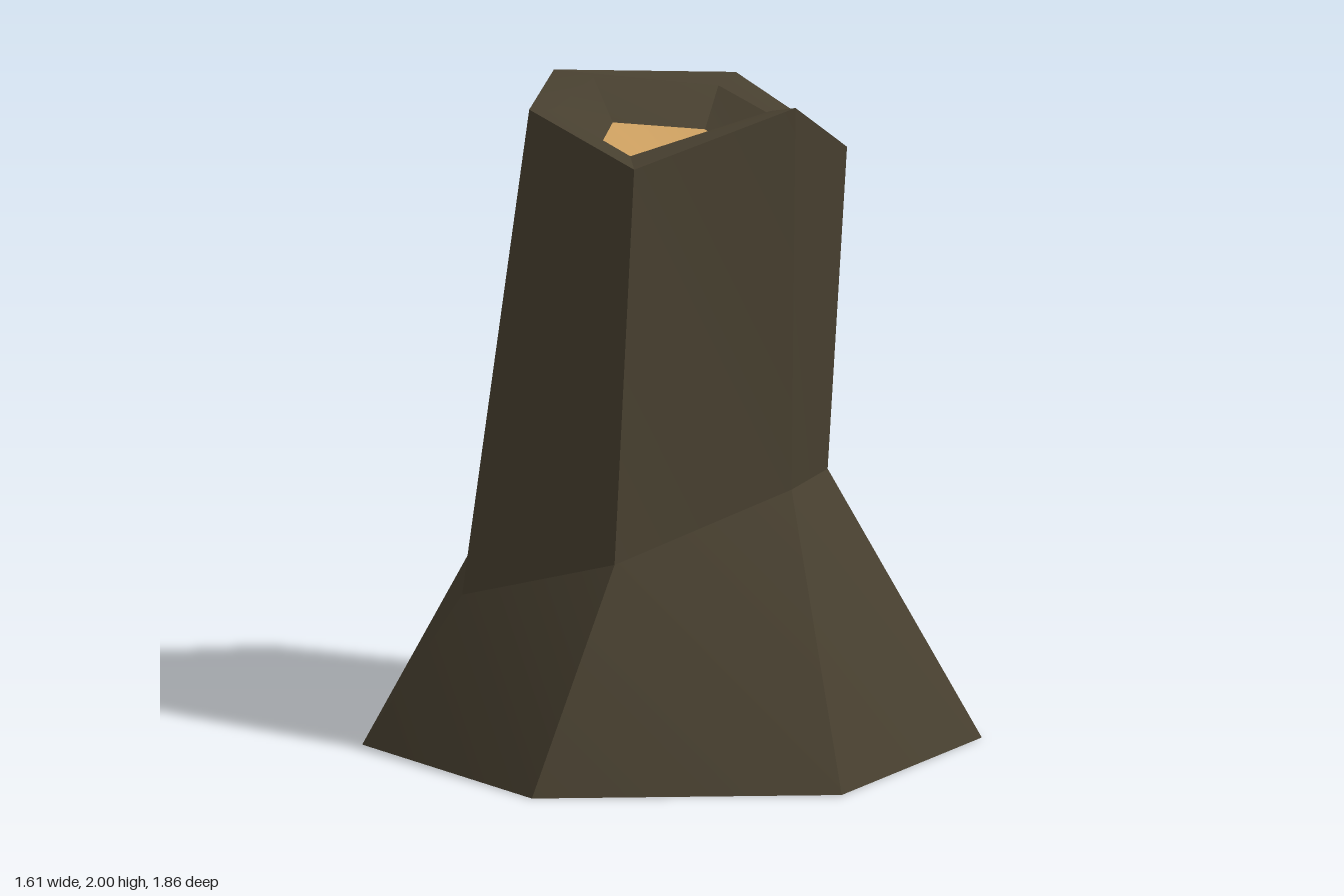
import * as THREE from 'three';
import { toCreasedNormals } from 'three/addons/utils/BufferGeometryUtils.js';

// Six-sided cross-sections, each starting at the front corner and going round by +x
const base = Array.from({ length: 6 }, (_, i) => {
  const a = (i * Math.PI) / 3;
  return [0.93 * Math.sin(a), 0, 0.93 * Math.cos(a)];
});
const waist = [[0.095, 0.85, 0.51], [0.505, 0.79, 0.08], [0.48, 0.96, -0.43],
  [-0.12, 0.79, -0.62], [-0.66, 0.5, -0.14], [-0.48, 0.67, 0.42]];
const top = [[0.155, 2.0, 0.44], [0.545, 1.78, 0.125], [0.47, 1.93, -0.37],
  [-0.07, 1.97, -0.54], [-0.41, 1.955, -0.155], [-0.325, 1.84, 0.29]];
const rim = [[0.12, 1.98, 0.355], [0.45, 1.81, 0.08], [0.385, 1.905, -0.335],
  [0, 1.957, -0.43], [-0.335, 1.945, -0.145], [-0.28, 1.86, 0.2]];
const wood = [[0.105, 1.845, 0.25], [0.32, 1.71, 0.035], [0.285, 1.796, -0.255],
  [0.01, 1.834, -0.34], [-0.19, 1.82, -0.11], [-0.195, 1.74, 0.14]];

// Triangles joining two rings
function band(lower, upper) {
  return lower.flatMap((a, i) => {
    const j = (i + 1) % lower.length;
    return [a, lower[j], upper[i], lower[j], upper[j], upper[i]];
  });
}

// Triangles from a ring to a centre point
function fan(ring, centre) {
  return ring.flatMap((p, i) => [p, ring[(i + 1) % ring.length], centre]);
}

// Faceted sides: only the slight fold within a side is smoothed
function facetedMesh(name, points, material) {
  const geometry = new THREE.BufferGeometry();
  geometry.setAttribute('position', new THREE.Float32BufferAttribute(points.flat(), 3));
  const mesh = new THREE.Mesh(toCreasedNormals(geometry, 0.4), material);
  mesh.name = name;
  return mesh;
}

export function createModel() {
  const bark = new THREE.MeshStandardMaterial({ color: 0x484030 });
  bark.name = 'bark brown';
  const heart = new THREE.MeshStandardMaterial({ color: 0xc89c5e });
  heart.name = 'cut wood tan';

  const group = new THREE.Group();
  group.name = 'treeStump';
  group.add(
    facetedMesh('flaredRoots', band(base, waist), bark),
    facetedMesh('trunk', band(waist, top), bark),
    facetedMesh('barkRim', band(top, rim), bark),
    facetedMesh('innerBark', band(rim, wood), bark),
    facetedMesh('cutWood', fan(wood, [0.055, 1.71, -0.063]), heart),
    facetedMesh('underside', fan([...base].reverse(), [0, 0, 0]), bark),
  );
  return group;
}
